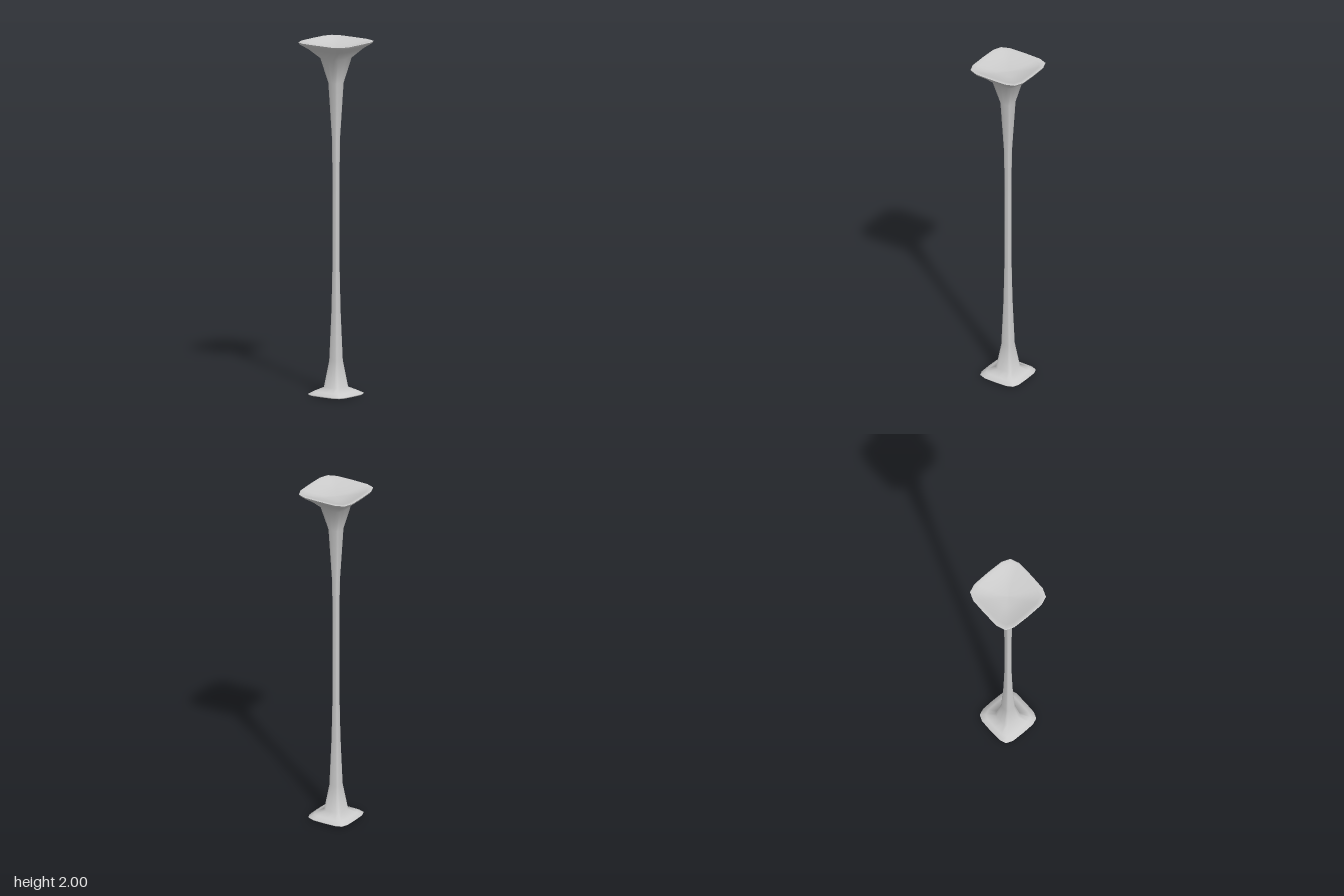
import * as THREE from 'three';

// Rounded-square outline with 16 corners, half width 1
const QUARTER = [[0, 1], [0.58, 0.985], [0.87, 0.87], [0.985, 0.58]];
const OUTLINE = [];
for (let q = 0; q < 4; q++) {
  for (const [a, b] of QUARTER) {
    // turn each quarter by 90 degrees around y
    OUTLINE.push([[a, b], [b, -a], [-a, -b], [-b, a]][q]);
  }
}

// Skins a list of [half width, height] rings; rings run so that faces point outward going up
function loft(name, rings, material) {
  const n = OUTLINE.length;
  const positions = [];
  const indices = [];
  for (const [r, y] of rings) {
    for (const [x, z] of OUTLINE) positions.push(x * r, y, z * r);
  }
  for (let i = 0; i < rings.length - 1; i++) {
    for (let j = 0; j < n; j++) {
      const a = i * n + j;
      const b = i * n + (j + 1) % n;
      if (rings[i][0] > 0) indices.push(a, b, b + n);
      if (rings[i + 1][0] > 0) indices.push(a, b + n, a + n);
      else if (rings[i][0] > 0) continue;
    }
  }
  const geometry = new THREE.BufferGeometry();
  geometry.setAttribute('position', new THREE.Float32BufferAttribute(positions, 3));
  geometry.setIndex(indices);
  geometry.computeVertexNormals();
  const mesh = new THREE.Mesh(geometry, material);
  mesh.name = name;
  return mesh;
}

export function createModel() {
  const group = new THREE.Group();
  group.name = 'flaredColumn';
  const material = new THREE.MeshStandardMaterial({ color: 0xcccccc });

  // Slender shaft flaring into the foot and the top
  group.add(loft('shaft', [
    [0.122, 0.005], [0.128, 0.012], [0.1, 0.028], [0.055, 0.05],
    [0.031, 0.2], [0.021, 0.48], [0.017, 0.7], [0.016, 1.18],
    [0.018, 1.44], [0.035, 1.765], [0.071, 1.905], [0.125, 1.957],
    [0.165, 1.985], [0.172, 1.997],
  ], material));

  // Shallow dish closing the top
  group.add(loft('topDish', [
    [0.172, 1.997], [0.165, 2], [0.145, 1.993], [0.105, 1.978], [0.055, 1.967], [0, 1.964],
  ], material));

  // Nearly flat underside of the foot
  group.add(loft('footUnderside', [[0, 0], [0.08, 0.001], [0.122, 0.005]], material));

  return group;
}
